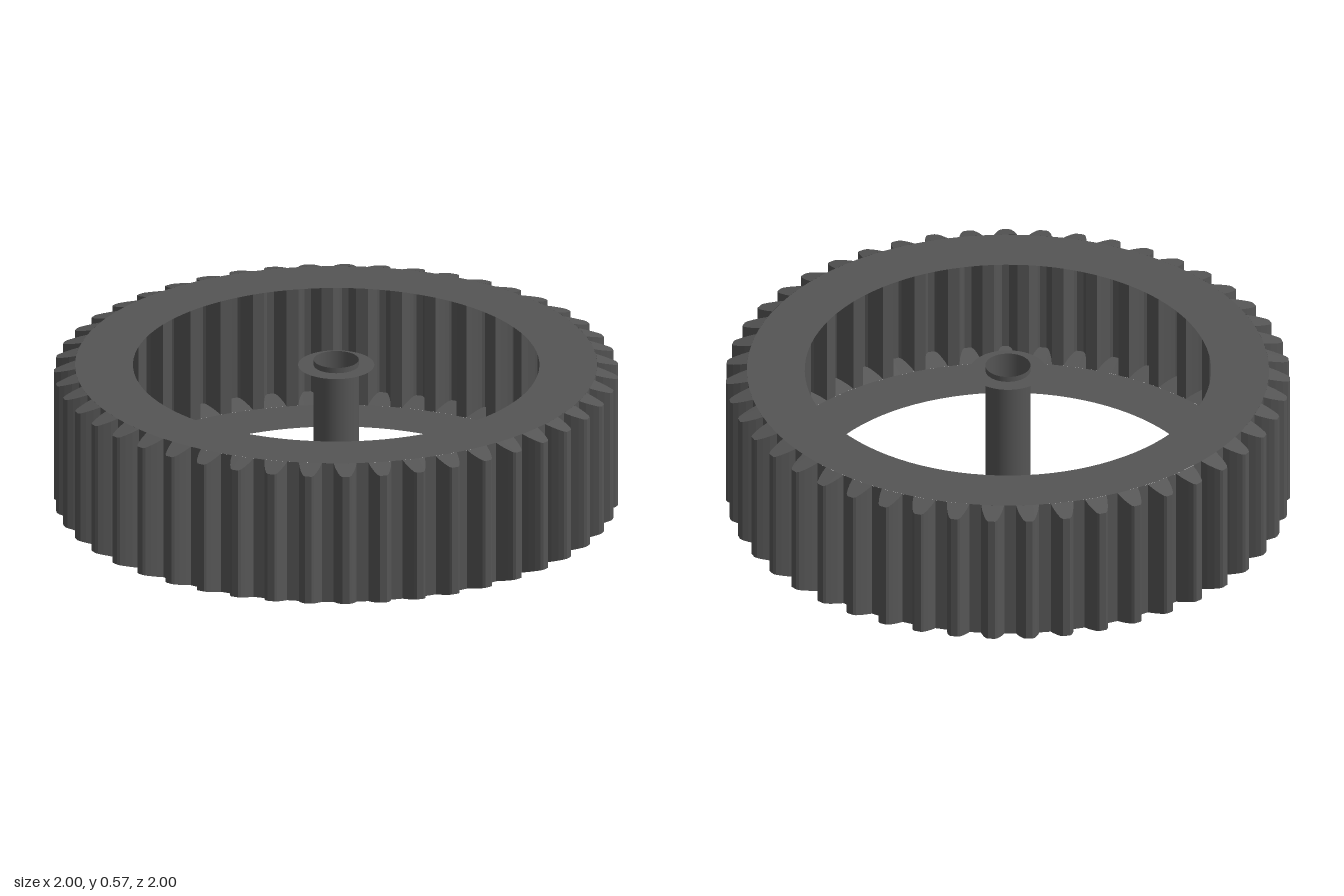
import * as THREE from 'three';

const TEETH = 47, ROOT = 0.925, INNER = 0.72, BOTTOM = 0.02, TOP = 0.55, SLOPE = 0.3;
// Half of a tooth: [radius, half width], from root to tip
const FLANK = [[ROOT, 0.041], [0.95, 0.036], [0.975, 0.028], [0.993, 0.02], [1, 0.012]];

// One loop of [angle, radius] around the toothed wall
function gearOutline() {
  const side = FLANK.map(([r, w]) => [w / r, r]);
  const tooth = [...side.map(([a, r]) => [-a, r]), ...side.slice().reverse()];
  const loop = [];
  for (let i = 0; i < TEETH; i++) {
    const mid = (i / TEETH) * Math.PI * 2;
    for (const [a, r] of tooth) loop.push([mid + a, r]);
  }
  return loop;
}

// Thin toothed wall, with the tooth ends sloping back to the root circle
function toothedWall() {
  const loop = gearOutline(), n = loop.length;
  const levels = [
    () => [ROOT, BOTTOM],
    (r) => [r, BOTTOM + SLOPE * (r - ROOT)],
    (r) => [r, TOP - SLOPE * (r - ROOT)],
    () => [ROOT, TOP],
  ];
  const positions = [], index = [];
  levels.forEach((level, j) => {
    loop.forEach(([a, radius], i) => {
      const [r, y] = level(radius);
      positions.push(Math.sin(a) * r, y, -Math.cos(a) * r);
      if (j === levels.length - 1) return;
      const p = j * n + i, q = j * n + (i + 1) % n;
      index.push(p, p + n, q, q, p + n, q + n);
    });
  });
  const g = new THREE.BufferGeometry();
  g.setAttribute('position', new THREE.Float32BufferAttribute(positions, 3));
  g.setIndex(index);
  g.computeVertexNormals();
  return g;
}

export function createModel() {
  const model = new THREE.Group();
  const smooth = new THREE.MeshStandardMaterial({ color: 0x555555, side: THREE.DoubleSide });
  const flat = new THREE.MeshStandardMaterial({ color: 0x555555, side: THREE.DoubleSide, flatShading: true });

  const add = (name, geometry, material, y = 0) => {
    const mesh = new THREE.Mesh(geometry, material);
    mesh.name = name;
    mesh.position.y = y;
    model.add(mesh);
  };
  const disc = (inner, outer, up) =>
    new THREE.RingGeometry(inner, outer, 96).rotateX(up ? -Math.PI / 2 : Math.PI / 2);

  // Gear rim: hollow toothed wall between two flat rings
  add('toothedWall', toothedWall(), flat);
  add('upperRimRing', disc(INNER, ROOT, true), smooth, TOP);
  add('lowerRimRing', disc(INNER, ROOT, false), smooth, BOTTOM);

  // Hub: open tube passing slightly beyond its two flanges
  add('hubTube', new THREE.CylinderGeometry(0.08, 0.08, 0.57, 48, 1, true), smooth, 0.285);
  add('upperHubFlange', disc(0.08, 0.135, true), smooth, TOP);
  add('lowerHubFlange', disc(0.08, 0.135, false), smooth, BOTTOM);

  return model;
}
